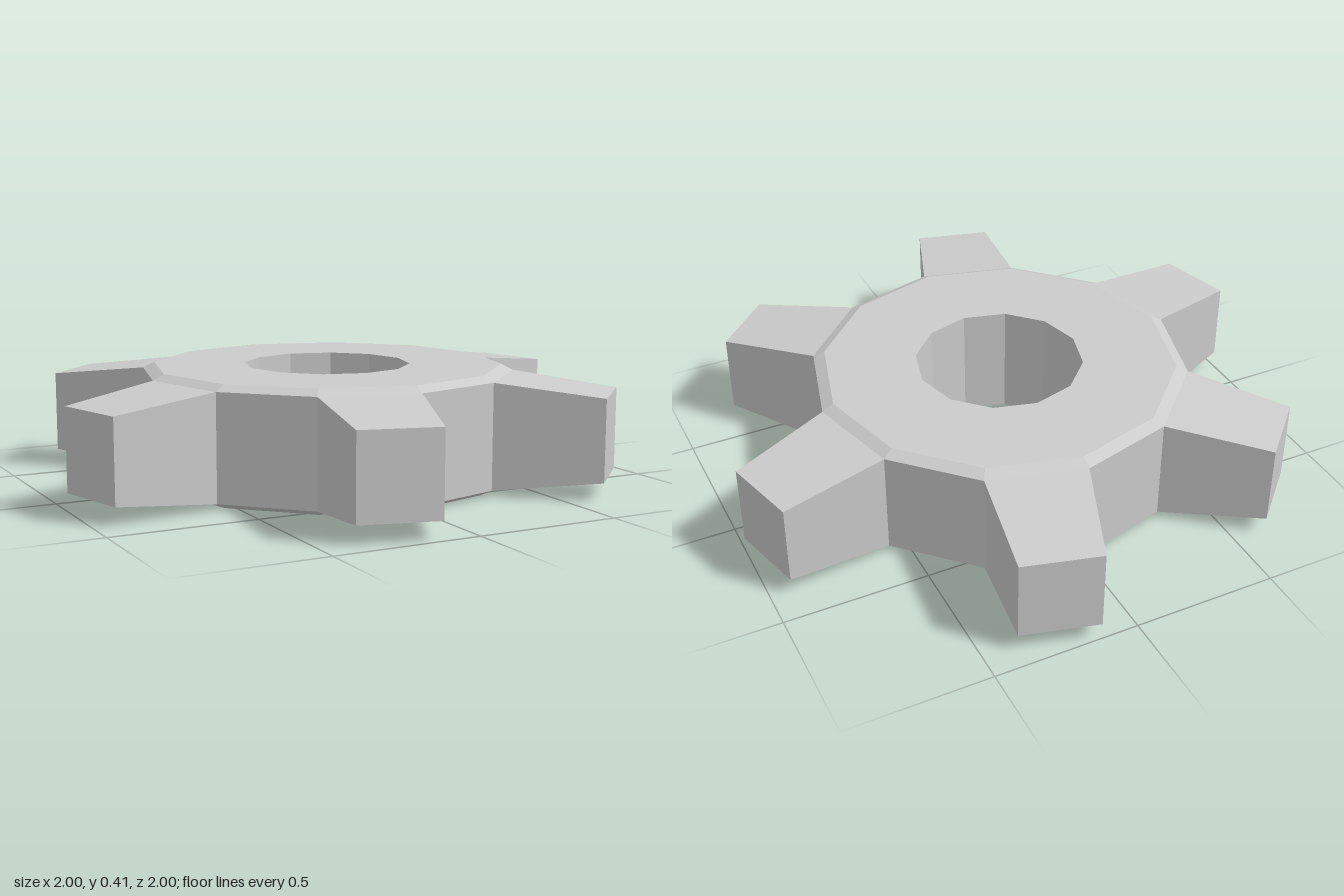
import * as THREE from 'three';

const SIDES = 12;
const TEETH = 6;
const RADIUS = 0.655; // corner radius of the hub
const HEIGHT = 0.405;
const BEVEL_Y = 0.02;
const BEVEL_R = 0.615;
const HOLE_R = 0.292;

const material = new THREE.MeshStandardMaterial({ color: 0xcccccc, flatShading: true });

// Twelve-sided ring with bevelled rims and a central bore
function makeHub() {
  const profile = [
    [HOLE_R, 0],
    [BEVEL_R, 0],
    [RADIUS, BEVEL_Y],
    [RADIUS, HEIGHT - BEVEL_Y],
    [BEVEL_R, HEIGHT],
    [HOLE_R, HEIGHT],
    [HOLE_R, 0],
  ].map(([r, y]) => new THREE.Vector2(r, y));
  const hub = new THREE.Mesh(new THREE.LatheGeometry(profile, SIDES), material);
  hub.name = 'hub';
  return hub;
}

// Block covering one hub side, tapering in width and height towards its tip
function makeToothGeometry() {
  const half = Math.PI / SIDES;
  const base = { x: RADIUS * Math.cos(half), w: 2 * RADIUS * Math.sin(half), h: HEIGHT - 2 * BEVEL_Y };
  const tip = { x: 1.0, w: 0.268, h: 0.282 };
  const geometry = new THREE.BoxGeometry(1, 1, 1);
  const p = geometry.attributes.position;
  for (let i = 0; i < p.count; i++) {
    const end = p.getX(i) > 0 ? tip : base;
    p.setXYZ(i, end.x, HEIGHT / 2 + p.getY(i) * end.h, p.getZ(i) * end.w);
  }
  geometry.computeVertexNormals();
  return geometry;
}

export function createModel() {
  const gear = new THREE.Group();
  gear.name = 'gear';
  gear.add(makeHub());

  // Teeth on every second side of the hub
  const toothGeometry = makeToothGeometry();
  for (let i = 0; i < TEETH; i++) {
    const tooth = new THREE.Mesh(toothGeometry, material);
    tooth.name = `tooth${i + 1}`;
    tooth.rotation.y = Math.PI / SIDES + (i * 2 * Math.PI) / TEETH;
    gear.add(tooth);
  }
  return gear;
}
